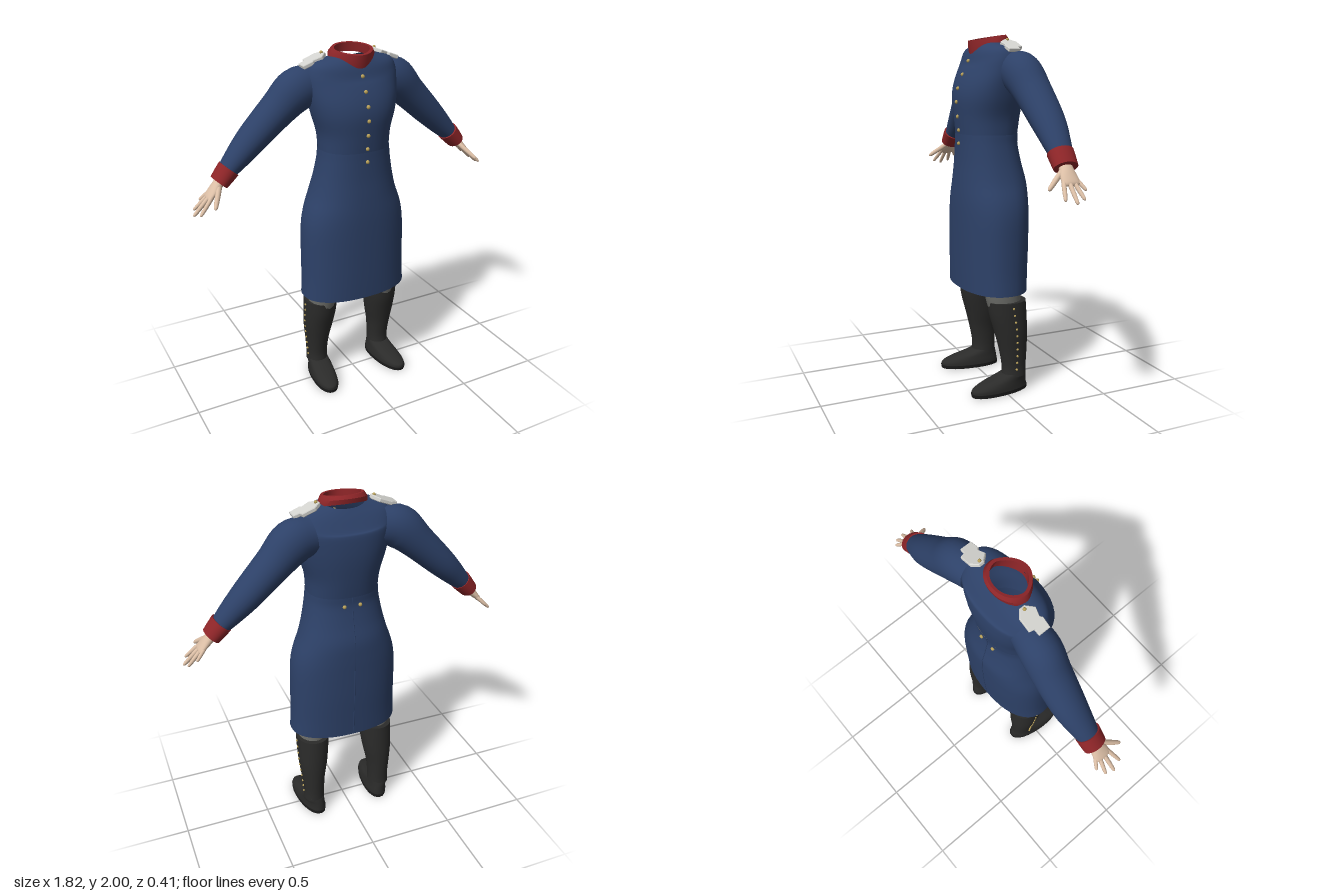
import * as THREE from 'three';
import { mergeVertices, toCreasedNormals } from 'three/addons/utils/BufferGeometryUtils.js';

const mat = (name, color, side = THREE.FrontSide) => {
  const m = new THREE.MeshStandardMaterial({ color, side });
  m.name = name;
  return m;
};

// Smoothly resample rows of numbers
function smooth(rows, steps = 4) {
  const w = rows[0].length, out = [];
  const spline = new THREE.CubicInterpolant(rows.map((_, i) => i), rows.flat(), w, new Array(w));
  for (let i = 0; i <= (rows.length - 1) * steps; i++) out.push(Array.from(spline.evaluate(i / steps)));
  return out;
}

// Skin a list of closed rings of Vector3
function loft(rings, capStart = false, capEnd = false) {
  const n = rings[0].length, pos = [], idx = [];
  rings.forEach(r => r.forEach(p => pos.push(p.x, p.y, p.z)));
  for (let r = 0; r < rings.length - 1; r++)
    for (let i = 0; i < n; i++) {
      const a = r * n + i, b = r * n + (i + 1) % n;
      idx.push(a, a + n, b, b, a + n, b + n);
    }
  const cap = (r, end) => {
    const c = rings[r].reduce((s, p) => s.add(p), new THREE.Vector3()).divideScalar(n);
    const k = pos.length / 3;
    pos.push(c.x, c.y, c.z);
    for (let i = 0; i < n; i++) {
      const a = r * n + i, b = r * n + (i + 1) % n;
      idx.push(k, end ? b : a, end ? a : b);
    }
  };
  if (capStart) cap(0, false);
  if (capEnd) cap(rings.length - 1, true);
  const g = new THREE.BufferGeometry();
  g.setAttribute('position', new THREE.Float32BufferAttribute(pos, 3));
  g.setIndex(idx);
  g.computeVertexNormals();
  return g;
}

// Horizontal rounded ring: y, centre x, half width, front z, back z, saddle drop, outward shear
function ring([y, cx, hw, zf, zb, drop = 0, shear = 0], n = 40, power = 2.3) {
  const e = 2 / power, pts = [];
  for (let i = 0; i < n; i++) {
    const t = (i / n) * Math.PI * 2, c = Math.cos(t), s = Math.sin(t);
    const z = (zf + zb) / 2 + ((zf - zb) / 2) * Math.sign(s) * Math.abs(s) ** e;
    pts.push(new THREE.Vector3(cx + hw * Math.sign(c) * Math.abs(c) ** e + shear * z, y - drop * z * z, z));
  }
  return pts;
}

// Limb along a path: rows of x, y, z, radius across, radius front to back
function limb(rows, steps = 4, n = 20, capStart = false, capEnd = true) {
  const s = smooth(rows, steps), v = r => new THREE.Vector3(r[0], r[1], r[2]);
  const rings = s.map((r, i) => {
    const T = v(s[Math.min(i + 1, s.length - 1)]).sub(v(s[Math.max(i - 1, 0)])).normalize();
    const N = new THREE.Vector3(0, 0, 1).cross(T).normalize(), B = N.clone().cross(T);
    return Array.from({ length: n }, (_, k) => {
      const t = (k / n) * Math.PI * 2;
      return v(r).addScaledVector(N, r[3] * Math.cos(t)).addScaledVector(B, r[4] * Math.sin(t));
    });
  });
  return loft(rings, capStart, capEnd);
}

function mirrored(src) {
  const g = src.index ? src.clone() : mergeVertices(src);
  g.scale(-1, 1, 1);
  const a = g.index.array;
  for (let i = 0; i < a.length; i += 3) [a[i], a[i + 1]] = [a[i + 1], a[i]];
  return g;
}

export function createModel() {
  const root = new THREE.Group();
  root.name = 'uniformFigure';
  const coat = mat('coat blue', 0x2d4168, THREE.DoubleSide), red = mat('facing red', 0x8e2528, THREE.DoubleSide);
  const skin = mat('skin', 0xdcbfa6), white = mat('shoulder white', 0xd4d4d0), brass = mat('brass', 0xb8a05a);
  const grey = mat('trouser grey', 0x6c6d69), leather = mat('boot black', 0x2b2b2a), soleMat = mat('sole black', 0x1c1c1c);

  const add = (name, geo, m) => {
    const mesh = new THREE.Mesh(geo, m);
    mesh.name = name;
    root.add(mesh);
  };
  const pair = (name, geo, m) => {
    add(name + 'Left', geo, m);
    add(name + 'Right', mirrored(geo), m);
  };
  const button = (x, y, z, r) => new THREE.SphereGeometry(r, 10, 8).translate(x, y, z);

  // Coat skirt, open at the hem
  const skirt = [
    [0.585, 0, 0.32, 0.187, -0.185], [0.7, 0, 0.314, 0.189, -0.19], [0.85, 0, 0.311, 0.19, -0.197],
    [1.0, 0, 0.306, 0.19, -0.2], [1.1, 0, 0.288, 0.188, -0.201], [1.2, 0, 0.252, 0.182, -0.197],
    [1.3, 0, 0.225, 0.175, -0.173], [1.4, 0, 0.206, 0.172, -0.154], [1.46, 0, 0.2, 0.172, -0.155]];
  add('coatSkirt', loft(smooth(skirt).map(r => ring(r))), coat);

  // Coat bodice, closing toward the neck
  const bodice = [
    [1.45, 0, 0.197, 0.169, -0.152, 0], [1.55, 0, 0.204, 0.178, -0.166, 0], [1.65, 0, 0.232, 0.184, -0.177, 0],
    [1.73, 0, 0.25, 0.17, -0.18, 0], [1.81, 0, 0.262, 0.136, -0.175, 0], [1.875, 0, 0.258, 0.115, -0.16, 2],
    [1.925, 0, 0.225, 0.1, -0.13, 3], [1.955, 0, 0.122, 0.082, -0.094, 3]];
  add('coatBodice', loft(smooth(bodice).map(r => ring(r))), coat);

  // Rear vent seam
  const seam = new THREE.CatmullRomCurve3(skirt.map(r => new THREE.Vector3(0, r[0], r[4])));
  add('ventSeam', new THREE.TubeGeometry(seam, 32, 0.003, 6), coat);

  // Standing collar, narrower at the front and lower there
  const collarRing = (y, tilt, hw, zf, zb) => ring([y, 0, hw, zf, zb], 40, 2).map(p => {
    if (p.z > 0) p.x *= 1 - 0.22 * (p.z / zf);
    p.y -= tilt * p.z;
    return p;
  });
  add('collar', toCreasedNormals(loft([
    collarRing(1.925, 0.32, 0.134, 0.1, -0.108), collarRing(1.955, 0.26, 0.132, 0.106, -0.112),
    collarRing(1.983, 0.17, 0.117, 0.109, -0.1), collarRing(1.983, 0.17, 0.1, 0.09, -0.086),
    collarRing(1.925, 0.3, 0.108, 0.08, -0.088)]), 0.7), red);

  // Sleeves and cuffs
  pair('sleeve', limb([
    [0.19, 1.805, -0.06, 0.1, 0.09], [0.295, 1.782, -0.068, 0.116, 0.105], [0.4, 1.69, -0.08, 0.097, 0.1],
    [0.545, 1.553, -0.088, 0.081, 0.09], [0.64, 1.46, -0.084, 0.065, 0.073], [0.7, 1.4, -0.08, 0.05, 0.06]],
    5, 28, false, false), coat);
  pair('cuff', toCreasedNormals(limb([
    [0.69, 1.411, -0.078, 0.059, 0.07], [0.72, 1.378, -0.077, 0.055, 0.068], [0.75, 1.345, -0.076, 0.049, 0.065]],
    1, 28, true, true), 0.7), red);

  // Hands: palm, four fingers and thumb
  pair('palm', limb([
    [0.72, 1.373, -0.076, 0.028, 0.036], [0.76, 1.334, -0.074, 0.026, 0.038], [0.79, 1.303, -0.07, 0.021, 0.047],
    [0.817, 1.276, -0.07, 0.014, 0.047], [0.826, 1.267, -0.07, 0.005, 0.03]]), skin);
  const fingers = {
    thumb: [[0.757, 1.33, -0.05], [0.82, 1.25, 0.055], 0.0145],
    indexFinger: [[0.806, 1.285, -0.032], [0.885, 1.205, 0.0], 0.0115],
    middleFinger: [[0.812, 1.281, -0.06], [0.906, 1.19, -0.055], 0.012],
    ringFinger: [[0.806, 1.285, -0.086], [0.89, 1.205, -0.103], 0.0115],
    littleFinger: [[0.793, 1.297, -0.104], [0.847, 1.243, -0.135], 0.0105]
  };
  for (const [name, [a, b, r]] of Object.entries(fingers)) {
    const rows = [[0, 1], [0.5, 0.97], [0.85, 0.8], [0.96, 0.55], [1, 0.15]].map(([t, k]) =>
      [...a.map((v, i) => v + (b[i] - v) * t), r * k, r * k]);
    pair(name, limb(rows, 2, 10), skin);
  }

  // Shoulder straps: notched plates laid on the shoulder slope
  const strap = new THREE.Shape([
    [0, 0.06], [0.035, 0.088], [0.105, 0.088], [0.112, 0.062], [0.145, 0.06],
    [0.145, 0.002], [0.09, 0.0], [0.08, 0.012], [0.035, 0.0], [0, 0.036]].map(p => new THREE.Vector2(...p)));
  const strapGeo = new THREE.ExtrudeGeometry(strap, {
    depth: 0.014, bevelEnabled: true, bevelThickness: 0.004, bevelSize: 0.003, bevelSegments: 1 });
  strapGeo.rotateX(-Math.PI / 2).rotateZ(-0.36).translate(0.14, 1.953, 0);
  pair('shoulderStrap', strapGeo, white);
  pair('strapButton', button(0.158, 1.968, -0.047, 0.009), brass);

  // Coat buttons, front row and rear pair
  [[1.857, 0.113], [1.783, 0.148], [1.709, 0.176], [1.635, 0.185], [1.555, 0.179], [1.48, 0.172], [1.407, 0.173]]
    .forEach(([y, z], i) => add('frontButton' + (i + 1), button(0, y, z, 0.011), brass));
  pair('rearButton', button(0.045, 1.41, -0.153, 0.011), brass);

  // Trousers
  pair('trouserLeg', loft(smooth([
    [0.46, 0.2, 0.078, 0.07, -0.12], [0.55, 0.198, 0.083, 0.094, -0.11], [0.65, 0.188, 0.093, 0.11, -0.115],
    [0.8, 0.165, 0.115, 0.13, -0.135], [0.95, 0.145, 0.14, 0.145, -0.155], [1.08, 0.12, 0.13, 0.14, -0.15]
  ]).map(r => ring(r, 28, 2)), true, true), grey);
  add('trouserSeat', toCreasedNormals(loft(smooth([
    [0.93, 0, 0.16, 0.08, -0.1], [1.0, 0, 0.27, 0.15, -0.165], [1.15, 0, 0.235, 0.15, -0.16],
    [1.3, 0, 0.19, 0.14, -0.13], [1.4, 0, 0.175, 0.135, -0.125]]).map(r => ring(r)), true, true), 0.8), grey);

  // Boots: shaft, foot and sole
  pair('bootShaft', toCreasedNormals(loft(smooth([
    [0.09, 0.215, 0.062, 0.004, -0.141], [0.15, 0.214, 0.061, 0.002, -0.14], [0.25, 0.214, 0.069, 0.02, -0.144],
    [0.35, 0.21, 0.084, 0.045, -0.146], [0.45, 0.205, 0.092, 0.073, -0.143], [0.535, 0.202, 0.095, 0.087, -0.138]
  ]).map(r => ring(r, 28, 2.1)), true, true), 0.8), leather);
  pair('bootFoot', loft(smooth([
    [0.018, 0.217, 0.07, 0.2, -0.152, 0, 0.1], [0.04, 0.217, 0.069, 0.193, -0.15, 0, 0.1],
    [0.065, 0.217, 0.065, 0.135, -0.147, 0, 0.08], [0.085, 0.216, 0.062, 0.06, -0.144, 0, 0.04],
    [0.105, 0.215, 0.06, 0.0, -0.14, 0, 0]]).map(r => ring(r, 28, 2.2)), false, true), leather);
  pair('sole', toCreasedNormals(loft([
    ring([0, 0.217, 0.071, 0.2, -0.155, 0, 0.1], 28, 2.2),
    ring([0.02, 0.217, 0.073, 0.204, -0.156, 0, 0.1], 28, 2.2)], true, true), 0.7), soleMat);

  // Buttons down the outer side of each boot
  const placket = new THREE.CatmullRomCurve3([
    [0.297, 0.505, -0.028], [0.295, 0.385, -0.048], [0.284, 0.25, -0.06], [0.275, 0.135, -0.06]
  ].map(p => new THREE.Vector3(...p)));
  for (let i = 0; i < 10; i++) {
    const p = placket.getPointAt(i / 9);
    pair('bootButton' + (i + 1), button(p.x, p.y, p.z, 0.007), brass);
  }
  return root;
}
